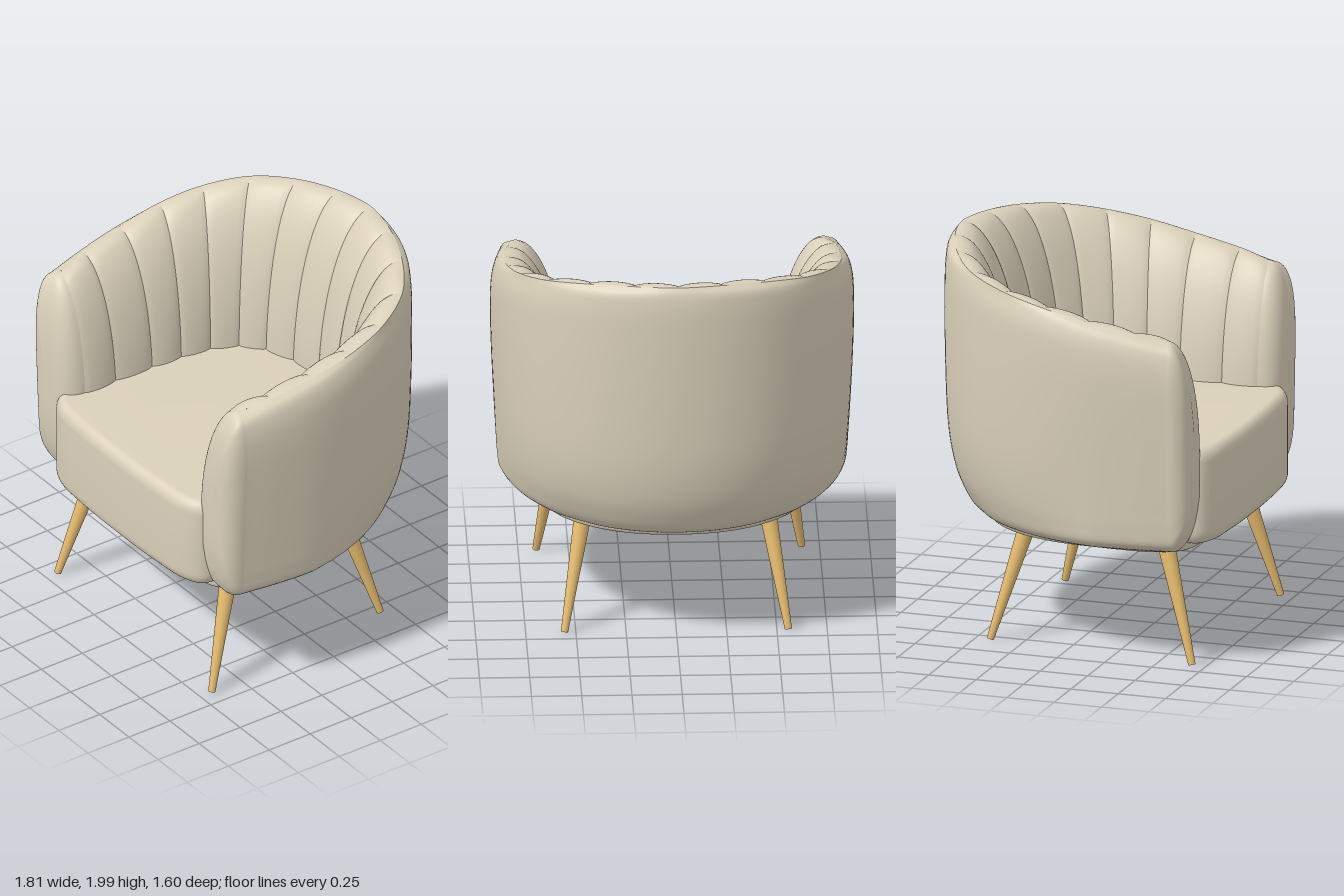
import * as THREE from 'three';
import { toCreasedNormals } from 'three/addons/utils/BufferGeometryUtils.js';

const { lerp, clamp } = THREE.MathUtils;

// Half plan curves [x, z], one point per channel seam, from back centre to arm front
const OUTER = [[0, -0.8], [0.24, -0.77], [0.47, -0.675], [0.68, -0.5], [0.81, -0.28], [0.88, -0.05], [0.905, 0.2], [0.89, 0.43], [0.865, 0.61]];
const RIDGE = [[0, -0.765], [0.22, -0.725], [0.445, -0.635], [0.65, -0.49], [0.775, -0.285], [0.83, -0.06], [0.835, 0.18], [0.815, 0.42], [0.77, 0.59]];
const INNER = [[0, -0.44], [0.18, -0.415], [0.335, -0.36], [0.44, -0.27], [0.5, -0.14], [0.525, 0.02], [0.535, 0.19], [0.54, 0.41], [0.535, 0.6]];
const CHANNELS = 16;

const mirrorCurve = (half) => new THREE.CatmullRomCurve3([
  ...half.slice(1).reverse().map(([x, z]) => new THREE.Vector3(-x, 0, z)),
  ...half.map(([x, z]) => new THREE.Vector3(x, 0, z)),
]);
const outer = mirrorCurve(OUTER), ridge = mirrorCurve(RIDGE), inner = mirrorCurve(INNER);

// Plan positions and rim height at t (0 = right arm front, 1 = left arm front)
function station(t) {
  const o = outer.getPoint(t), r = ridge.getPoint(t), i = inner.getPoint(t);
  return {
    o, r, i,
    dir: i.clone().sub(o).normalize(),
    rim: lerp(1.985, 1.7, clamp((o.z + 0.8) / 1.4, 0, 1)),
    back: clamp((0.2 - o.z) / 0.8, 0, 1),
  };
}

// Outside wall profile, from the tucked-in bottom up to the rim
function wallCurve(t) {
  const { o, r, dir, rim, back } = station(t);
  const rows = [
    [0.6, 0.2, 0.25], [0.605, 0.12, 0.2], [0.645, 0.05, 0.14], [0.72, 0.035, 0.095], [0.82, 0.028, 0.055],
    [1.0, 0.018, 0.02], [1.3, 0.004, 0.004], [rim - 0.22, 0, 0], [rim - 0.1, 0.01, 0.005], [rim - 0.03, 0.035, 0.018],
  ];
  const pts = rows.map(([y, side, rear]) => o.clone().addScaledVector(dir, lerp(side, rear, back)).setY(y));
  pts.push(r.clone().setY(rim));
  return new THREE.CatmullRomCurve3(pts);
}

// Padded inside face: a quarter ellipse rolling over from the rim; puff swells between seams
function padPoint(t, v, puff) {
  const { r, i, dir, rim } = station(t);
  const w = v * v;
  const p = r.clone().lerp(i, Math.sqrt(1 - (1 - w) * (1 - w))).setY(lerp(rim, 1.0, w));
  const swell = puff * Math.min(1, v * 5);
  p.addScaledVector(dir, swell * 0.02 * Math.sqrt(w));
  p.y += swell * 0.026 * Math.pow(1 - w, 3);
  return p;
}

// Smooth surface from a function of (u, v)
function grid(nu, nv, fn) {
  const pos = [], index = [];
  for (let a = 0; a <= nu; a++) {
    for (let b = 0; b <= nv; b++) pos.push(...fn(a / nu, b / nv).toArray());
  }
  for (let a = 0; a < nu; a++) {
    for (let b = 0; b < nv; b++) {
      const p = a * (nv + 1) + b, q = p + nv + 1;
      index.push(p, p + 1, q, q, p + 1, q + 1);
    }
  }
  const g = new THREE.BufferGeometry();
  g.setAttribute('position', new THREE.Float32BufferAttribute(pos, 3));
  g.setIndex(index);
  g.computeVertexNormals();
  return g;
}

// Slab with rounded edges from a half plan outline [x, z]
function slab(half, y0, y1, bevel, round) {
  const loop = [
    ...half.map(([x, z]) => new THREE.Vector3(x, -z, 0)),
    ...half.slice(1, -1).reverse().map(([x, z]) => new THREE.Vector3(-x, -z, 0)),
  ];
  const pts = new THREE.CatmullRomCurve3(loop, true).getPoints(90).slice(0, -1);
  const g = new THREE.ExtrudeGeometry(new THREE.Shape(pts.map((p) => new THREE.Vector2(p.x, p.y))), {
    depth: y1 - y0 - 2 * bevel, bevelSize: round, bevelThickness: bevel, bevelOffset: -round, bevelSegments: 8,
  });
  g.rotateX(-Math.PI / 2).translate(0, y0 + bevel, 0);
  return toCreasedNormals(g, 0.6);
}

export function createModel() {
  const model = new THREE.Group();
  model.name = 'armchair';
  const fabric = new THREE.MeshStandardMaterial({ color: 0xdad0ba, side: THREE.DoubleSide });
  fabric.name = 'beige fabric';
  const wood = new THREE.MeshStandardMaterial({ color: 0xe6bc70 });
  wood.name = 'light wood';
  const add = (name, geometry, material, parent = model) => {
    const mesh = new THREE.Mesh(geometry, material);
    mesh.name = name;
    parent.add(mesh);
    return mesh;
  };

  // Outside wall
  const walls = Array.from({ length: 97 }, (_, n) => wallCurve(n / 96));
  add('outerShell', grid(96, 40, (u, v) => walls[Math.round(u * 96)].getPoint(v)), fabric);

  // Padded channels
  const channels = new THREE.Group();
  channels.name = 'channelBack';
  model.add(channels);
  for (let c = 0; c < CHANNELS; c++) {
    add('channel', grid(12, 28, (u, v) =>
      padPoint((c + u) / CHANNELS, v, Math.pow(Math.max(0, Math.sin(Math.PI * u)), 0.6))), fabric, channels);
  }

  // Bulging arm fronts
  for (const t of [0, 1]) {
    const rim = wallCurve(t).getPoints(40);
    for (let k = 1; k <= 28; k++) rim.push(padPoint(t, k / 28, 0));
    rim.push(inner.getPoint(t).setY(0.8), inner.getPoint(t).setY(0.62), rim[0].clone());
    const n = rim.length - 1;
    const centre = new THREE.Vector3(Math.sign(rim[0].x) * 0.71, 1.15, 0.6);
    add('armFront', grid(n, 16, (u, v) => {
      const s = Math.cos(v * Math.PI / 2);
      const p = rim[Math.round(u * n)].clone().lerp(centre, 1 - s);
      p.z += 0.115 * Math.sqrt(Math.max(0, 1 - Math.pow(s, 3)));
      return p;
    }), fabric);
  }

  // Seat cushion and underside
  add('seatCushion', slab([[0, 0.797], [0.3, 0.79], [0.53, 0.765], [0.625, 0.705], [0.64, 0.6], [0.61, 0.3],
    [0.59, 0], [0.52, -0.25], [0.35, -0.42], [0, -0.5]], 0.615, 1.11, 0.07, 0.05), fabric);
  add('basePanel', slab([[0, 0.68], [0.4, 0.675], [0.62, 0.63], [0.7, 0.5], [0.715, 0.2], [0.68, -0.1],
    [0.55, -0.35], [0.32, -0.52], [0, -0.58]], 0.575, 0.66, 0.03, 0.03), fabric);

  // Splayed tapered legs with mounting discs
  const legs = [
    ['frontLeg', [0.57, 0.6, 0.51], [0.66, 0.006, 0.68]],
    ['backLeg', [0.455, 0.6, -0.255], [0.557, 0.006, -0.42]],
  ];
  for (const [name, top, foot] of legs) {
    for (const side of [1, -1]) {
      const a = new THREE.Vector3(side * top[0], top[1], top[2]);
      const b = new THREE.Vector3(side * foot[0], foot[1], foot[2]);
      const axis = a.clone().sub(b);
      const leg = add(name, new THREE.CylinderGeometry(0.045, 0.018, axis.length(), 24), wood);
      leg.position.copy(a).add(b).multiplyScalar(0.5);
      leg.quaternion.setFromUnitVectors(new THREE.Vector3(0, 1, 0), axis.normalize());
      add(name + 'Disc', new THREE.CylinderGeometry(0.06, 0.06, 0.014, 24), wood).position.set(a.x, 0.571, a.z);
    }
  }
  return model;
}
